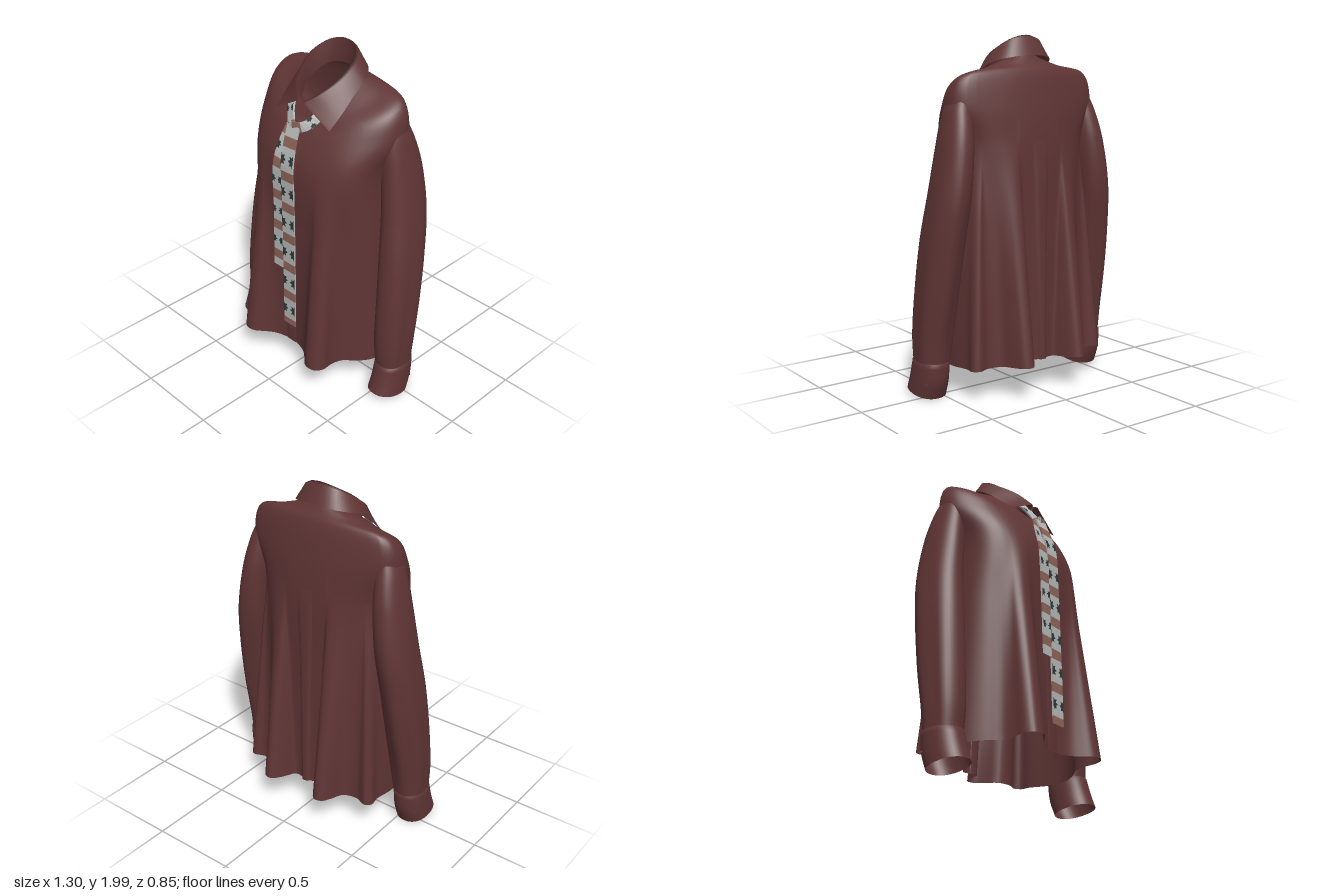
import * as THREE from 'three';

const V = (x, y, z) => new THREE.Vector3(x, y, z);
const mat = (name, color) => new THREE.MeshStandardMaterial({ name, color, side: THREE.DoubleSide });

// Skin a grid of points; closed joins the last column to the first
function loft(rows, closed = false) {
  const n = rows[0].length, pos = [], idx = [];
  rows.forEach(r => r.forEach(p => pos.push(p.x, p.y, p.z)));
  for (let j = 0; j < rows.length - 1; j++) {
    for (let i = 0; i < (closed ? n : n - 1); i++) {
      const k = (i + 1) % n, a = j * n + i, b = j * n + k, c = a + n, d = b + n;
      idx.push(a, b, c, b, d, c);
    }
  }
  const g = new THREE.BufferGeometry();
  g.setAttribute('position', new THREE.Float32BufferAttribute(pos, 3));
  g.setIndex(idx);
  g.computeVertexNormals();
  return g;
}

const signPow = (v, e) => Math.sign(v) * Math.pow(Math.abs(v), e);

// Half hem outline with its draped folds, front centre to back centre
const HEM = [[0, .30], [.07, .31], [.13, .335], [.18, .375], [.22, .41], [.26, .42], [.305, .405], [.325, .36],
  [.32, .29], [.335, .22], [.40, .15], [.445, .06], [.45, -.06], [.44, -.18], [.452, -.25], [.42, -.28], [.35, -.255],
  [.27, -.28], [.24, -.36], [.215, -.41], [.175, -.425], [.14, -.40], [.105, -.33], [.085, -.285], [.05, -.28], [0, -.295]];
const ANGLES = HEM.map(([x, z]) => Math.atan2(x / .45, z / .36));

// Half ring on a superellipse, tilted in z, lifted and swept back at the sides
function halfRing(a, front, back, n, y, tilt = 0, lift = 0, sweep = 0) {
  return ANGLES.map(t => {
    const x = a * Math.pow(Math.max(0, Math.sin(t)), 2 / n);
    const z = (front + back) / 2 + (front - back) / 2 * signPow(Math.cos(t), 2 / n) - sweep * (x / a) ** 4;
    return V(x, y + tilt * z + lift * (x / a) ** 2, z);
  });
}

const mirrorRing = half =>
  [...half, ...half.slice(1, -1).reverse().map(p => V(-p.x, p.y, p.z))];

// Body surface: u runs round from the front centre, v from hem to neckline
function makeBodySurface() {
  const hem = HEM.map(([x, z]) => V(x, .17 + .075 * Math.abs(z), z));
  const chest = halfRing(.425, .30, -.27, 2.6, 1.4);
  const shoulder = halfRing(.442, .18, -.207, 2.2, 1.712, -.44, .012, .06);
  const neck = halfRing(.145, .135, -.145, 2, 1.795, -.66, .02);
  const mix = (a, b, t) => a.map((p, i) => p.clone().lerp(b[i], t));
  const keys = [hem, mix(hem, chest, 1 / 3), mix(hem, chest, 2 / 3), chest,
    halfRing(.483, .226, -.247, 2.2, 1.6, -.1, 0, .06), shoulder, mix(shoulder, neck, .5), neck]
    .map(h => new THREE.CatmullRomCurve3(mirrorRing(h), true));
  return (u, vs) => {
    const column = new THREE.CatmullRomCurve3(keys.map(k => k.getPoint((u + 1) % 1)));
    return vs.map(v => column.getPoint(v));
  };
}

const range = (a, b, n) => Array.from({ length: n + 1 }, (_, i) => a + (b - a) * i / n);

// Sleeve ring from its x and z limits, with soft folds
function sleeveRing([y, x0, x1, zf, zb, fold = 0, tilt = 0], side) {
  return range(0, 1, 40).slice(0, 40).map(f => {
    const t = f * Math.PI * 2;
    const r = 1 + fold * (Math.cos(6 * t + 1) - 1) * (Math.cos(t) < .4 ? 1 : .3);
    const dz = (zf - zb) / 2 * signPow(Math.cos(t), .9) * r;
    const x = (x0 + x1) / 2 + (x1 - x0) / 2 * signPow(Math.sin(t), .9) * r;
    return V(side * x, y + tilt * dz, (zf + zb) / 2 + dz);
  });
}

function smoothRows(rings, steps) {
  const cols = rings[0].map((_, i) => new THREE.CatmullRomCurve3(rings.map(r => r[i])));
  return range(0, 1, steps).map(v => cols.map(c => c.getPoint(v)));
}

export function createModel() {
  const model = new THREE.Group();
  model.name = 'shirtWithTie';
  const cloth = mat('maroon cloth', 0x603535);
  const pale = mat('pale grey', 0xb6bab8);
  const rose = mat('dusty rose', 0x8e655a);
  const dark = mat('charcoal', 0x2f3838);
  const add = (name, geo, material, parent = model) => {
    const m = new THREE.Mesh(geo, material);
    m.name = name;
    parent.add(m);
    return m;
  };

  // Body with draped hem
  const surface = makeBodySurface();
  const vs = range(0, 1, 56);
  const columns = range(0, 1, 200).slice(0, 200).map(u => surface(u, vs));
  add('body', loft(vs.map((_, j) => columns.map(c => c[j])), true), cloth);

  // Raised strips that follow the body: front placket and back pleat
  const strip = (name, u0, u1, v1, dz) => {
    const rows = range(u0, u1, 6).map((u, i) => surface(u, range(0, v1, 40))
      .map((p, j) => p.add(V(0, 0, (i % 6 ? dz : -dz * .3) * Math.min(1, (40 - j) / 8)))));
    add(name, loft(rows), cloth);
  };
  strip('frontPlacket', -.012, .01, .58, .005);
  strip('backPleat', .489, .511, .445, -.01);

  // Sleeves, cuffs and cuff buttons; the sleeve head is tucked under the dropped shoulder
  const SLEEVE = [[1.69, .36, .42, -.05, -.12], [1.68, .35, .45, -.01, -.15], [1.62, .36, .485, .005, -.172],
    [1.52, .365, .515, .02, -.205], [1.4, .37, .542, .03, -.23], [1.15, .39, .588, .05, -.245, .015],
    [.9, .41, .622, .085, -.215, .025], [.6, .428, .642, .115, -.17, .04], [.35, .44, .647, .13, -.122, .04],
    [.2, .455, .64, .122, -.1, .02]];
  const CUFF = [[.215, .458, .643, .128, -.105], [.11, .458, .647, .155, -.095, 0, .06], [.026, .455, .65, .18, -.06, 0, .16]];
  for (const side of [1, -1]) {
    const arm = new THREE.Group();
    arm.name = side > 0 ? 'leftSleeve' : 'rightSleeve';
    model.add(arm);
    add('sleeve', loft(smoothRows(SLEEVE.map(r => sleeveRing(r, side)), 54), true), cloth, arm);
    const cuff = smoothRows(CUFF.map(r => sleeveRing(r, side)), 8);
    cuff.unshift(sleeveRing([.215, .475, .63, .118, -.093], side));
    add('cuff', loft(cuff, true), cloth, arm);
    const button = add('cuffButton', new THREE.CylinderGeometry(.012, .012, .008, 12), cloth, arm);
    button.position.set(side * .622, .1, -.055);
    button.quaternion.setFromUnitVectors(V(0, 1, 0), V(side * .65, 0, -.76).normalize());
  }

  // Folded collar: inner stand, top fold and outer edge, front to back
  const halves = [
    [[.002, 1.68, .135], [.07, 1.69, .115], [.13, 1.745, .05], [.138, 1.79, -.03], [.094, 1.84, -.11], [0, 1.855, -.138]],
    [[.012, 1.74, .2], [.085, 1.795, .15], [.13, 1.86, .06], [.135, 1.925, -.03], [.085, 1.98, -.11], [0, 2.0, -.132]],
    [[.025, 1.737, .208], [.1, 1.795, .152], [.15, 1.86, .055], [.155, 1.92, -.04], [.1, 1.972, -.125], [0, 1.992, -.146]],
    [[.205, 1.635, .195], [.215, 1.715, .105], [.215, 1.79, .02], [.203, 1.85, -.08], [.13, 1.878, -.165], [0, 1.89, -.19]]];
  const collarRows = halves.map(h => {
    const half = h.map(p => V(...p));
    const c = new THREE.CatmullRomCurve3([...half, ...half.slice(0, -1).reverse().map(p => V(-p.x, p.y, p.z))]);
    return range(0, 1, 60).map(t => c.getPoint(t));
  });
  add('collar', loft(collarRows), cloth);

  // Striped tie strips with jagged motifs on both edges
  const frameAt = (curve, s, len) => {
    const t = Math.min(1, s / len), T = curve.getTangentAt(t);
    const X = T.clone().cross(V(0, 0, 1)).normalize();
    const N = X.clone().cross(T).normalize();
    return { p: curve.getPointAt(t), X, N };
  };
  function tieStrip(name, points, width, firstBand, startRose) {
    const group = new THREE.Group();
    group.name = name;
    model.add(group);
    const curve = new THREE.CatmullRomCurve3(points.map(p => V(...p)));
    const len = curve.getLength(), w = width / 2;
    let s = 0, isRose = startRose, size = firstBand;
    while (s < len - .002) {
      const end = Math.min(len, s + size);
      const rows = range(s, end, 5).map(d => {
        const { p, X, N } = frameAt(curve, d, len);
        return [[-w, -.005], [w, -.005], [w, .005], [-w, .005]]
          .map(([a, b]) => p.clone().addScaledVector(X, a).addScaledVector(N, b));
      });
      const geo = loft(rows, true).toNonIndexed();
      geo.computeVertexNormals();
      add(isRose ? 'roseBand' : 'paleBand', geo, isRose ? rose : pale, group);
      if (!isRose && end - s > .08) {
        const { p, X, N } = frameAt(curve, (s + end) / 2, len);
        const r = width * .42;
        const shape = new THREE.Shape(range(0, 1, 8).map((f, i) => {
          const a = (f - .5) * Math.PI, k = i % 2 ? .62 * r : r;
          return new THREE.Vector2(Math.cos(a) * k, Math.sin(a) * k);
        }));
        for (const e of [-1, 1]) {
          const g = new THREE.ShapeGeometry(shape);
          if (e > 0) g.rotateZ(Math.PI);
          const o = p.clone().addScaledVector(X, e * w).addScaledVector(N, .007);
          g.applyMatrix4(new THREE.Matrix4().makeBasis(X, N.clone().cross(X), N).setPosition(o));
          add('motif', g, dark, group);
        }
      }
      s = end;
      isRose = !isRose;
      size = isRose ? .058 : .138;
    }
  }
  tieStrip('longTail', [[.014, .34, .33], [.014, .8, .324], [.01, 1.2, .319], [.004, 1.4, .314], [-.004, 1.53, .28], [-.008, 1.61, .25]],
    .092, .04, true);
  tieStrip('shortTail', [[-.07, .72, .328], [-.07, 1.1, .32], [-.074, 1.38, .311], [-.06, 1.5, .276], [-.035, 1.6, .24]],
    .07, .05, false);
  tieStrip('leftNeckBand', [[.135, 1.75, .125], [.105, 1.67, .195], [.05, 1.62, .24], [-.03, 1.605, .258]], .055, .07, true);
  tieStrip('rightNeckBand', [[-.115, 1.75, .135], [-.08, 1.68, .2], [-.03, 1.6, .246]], .055, .04, true);

  return model;
}
